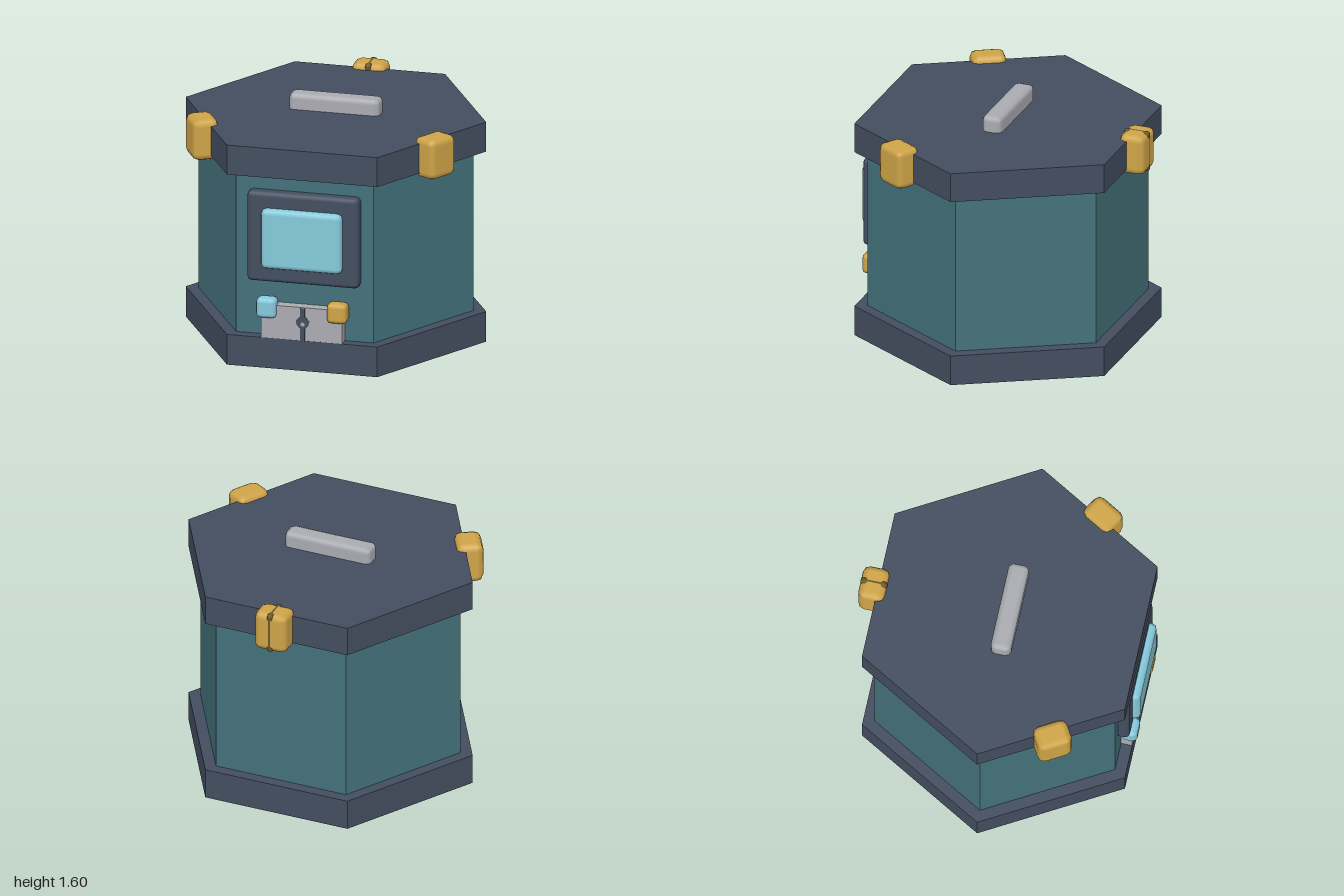
import * as THREE from 'three';
import { RoundedBoxGeometry } from 'three/addons/geometries/RoundedBoxGeometry.js';

const CZ = 0.035; // z of the hexagon axis

const material = (name, color) => {
  const m = new THREE.MeshStandardMaterial({ color });
  m.name = name;
  return m;
};

export function createModel() {
  const group = new THREE.Group();
  const slate = material('slate', 0x444e60);
  const teal = material('teal', 0x44727b);
  const gold = material('gold', 0xd0a548);
  const cyan = material('cyan', 0x86cbdd);
  const grey = material('grey', 0xabacb2);
  const brown = material('brown', 0x6b5628);

  const add = (name, geometry, mat, x, y, z, parent = group) => {
    const mesh = new THREE.Mesh(geometry, mat);
    mesh.name = name;
    mesh.position.set(x, y, z);
    parent.add(mesh);
    return mesh;
  };

  // Six-sided prism with flat sides and corners on the x axis
  const hexPrism = (name, radius, y0, y1, mat) => {
    const g = new THREE.CylinderGeometry(radius, radius, y1 - y0, 6, 1, false, Math.PI / 6).toNonIndexed();
    g.computeVertexNormals();
    return add(name, g, mat, 0, (y0 + y1) / 2, CZ);
  };
  const rounded = (w, h, d, r) => new RoundedBoxGeometry(w, h, d, 1, r);

  // Casing
  hexPrism('base', 1, 0, 0.205, slate);
  hexPrism('body', 0.915, 0.2, 1.3, teal);
  hexPrism('lid', 1, 1.293, 1.493, slate);
  add('handle', rounded(0.605, 0.14, 0.135, 0.035), grey, 0, 1.527, CZ);

  // Screen
  add('screenFrame', rounded(0.745, 0.61, 0.14, 0.03), slate, 0, 0.885, 0.83);
  add('screen', rounded(0.54, 0.405, 0.11, 0.035), cyan, 0, 0.885, 0.895);

  // Lower plate and knobs
  add('frontPlate', new THREE.BoxGeometry(0.54, 0.23, 0.09), grey, -0.005, 0.315, 0.855);
  add('leftKnob', rounded(0.135, 0.135, 0.105, 0.03), gold, 0.233, 0.41, 0.883);
  add('rightKnob', rounded(0.135, 0.135, 0.105, 0.03), cyan, -0.237, 0.41, 0.883);

  // Keyhole slit inlaid in the plate
  const outline = [[0.015, 0.11], [0.015, 0.055], [0.045, 0.025], [0.04, -0.005], [0.015, -0.03], [0.015, -0.115]];
  const mirrored = outline.map(([x, y]) => [-x, y]).reverse();
  const keyhole = new THREE.Shape([...mirrored, ...outline].map(([x, y]) => new THREE.Vector2(x, y)));
  keyhole.holes.push(new THREE.Path().absarc(0, 0, 0.014, 0, Math.PI * 2, true));
  add('keyhole', new THREE.ExtrudeGeometry(keyhole, { depth: 0.003, bevelEnabled: false, curveSegments: 6 }),
    slate, 0.003, 0.315, 0.899);

  // Three clasps around the lid
  for (let i = 0; i < 3; i++) {
    const clasp = new THREE.Group();
    clasp.name = 'clasp';
    clasp.position.set(0, 1.395, CZ);
    clasp.rotation.y = Math.PI + i * Math.PI * 2 / 3;
    add('claspBody', rounded(0.23, 0.275, 0.175, 0.045), gold, 0, 0, 0.895, clasp);
    if (i === 0) add('claspBand', rounded(0.045, 0.278, 0.178, 0.02).scale(1, 1, 1), brown, 0, 0, 0.895, clasp);
    group.add(clasp);
  }
  return group;
}
